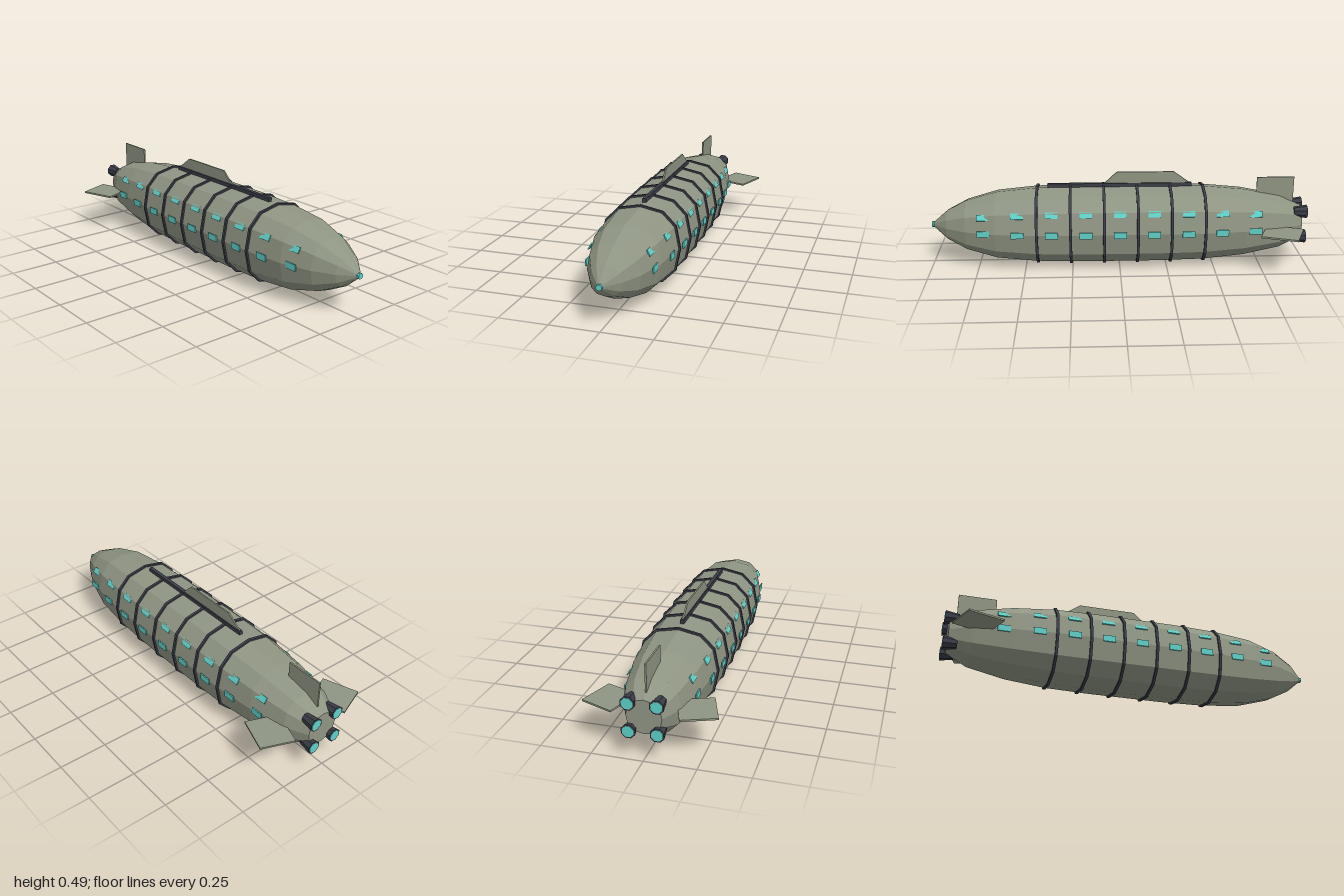
import * as THREE from 'three';

const CY = 0.213; // height of the long axis
const SIDES = 12;

// Hull outline from nose to tail: [z, radius]
const PROFILE = [
  [0.99, 0.012], [0.915, 0.077], [0.81, 0.132], [0.65, 0.177], [0.44, 0.197], [0.2, 0.203],
  [-0.2, 0.203], [-0.44, 0.198], [-0.66, 0.178], [-0.86, 0.14], [-0.975, 0.085],
];

function hullRadius(z) {
  for (let i = 0; i < PROFILE.length - 1; i++) {
    const [z0, r0] = PROFILE[i], [z1, r1] = PROFILE[i + 1];
    if (z <= z0 && z >= z1) return r0 + ((r1 - r0) * (z0 - z)) / (z0 - z1);
  }
  return 0;
}

// Slightly squared twelve-sided cross-section point
function sectionPoint(r, z, j) {
  const t = (j / SIDES) * Math.PI * 2;
  const soft = (v) => (Math.abs(v) < 1e-6 ? 0 : Math.sign(v) * Math.abs(v) ** 0.83);
  return [r * soft(Math.sin(t)), r * soft(Math.cos(t)), z];
}

function faceted(geometry) {
  const g = geometry.index ? geometry.toNonIndexed() : geometry;
  g.computeVertexNormals();
  return g;
}

// Skin over a list of [z, radius] sections, listed front to back
function loft(sections) {
  const pos = [];
  for (let i = 0; i < sections.length - 1; i++) {
    const [z0, r0] = sections[i], [z1, r1] = sections[i + 1];
    for (let j = 0; j < SIDES; j++) {
      const a = sectionPoint(r0, z0, j), b = sectionPoint(r0, z0, j + 1);
      const c = sectionPoint(r1, z1, j), d = sectionPoint(r1, z1, j + 1);
      if (r0 > 0) pos.push(...a, ...b, ...c);
      if (r1 > 0) pos.push(...b, ...d, ...c);
    }
  }
  const g = new THREE.BufferGeometry();
  g.setAttribute('position', new THREE.Float32BufferAttribute(pos, 3));
  return faceted(g);
}

// Flat plate from an outline, centred on its thickness
function plate(points, depth) {
  const shape = new THREE.Shape(points.map(([x, y]) => new THREE.Vector2(x, y)));
  return new THREE.ExtrudeGeometry(shape, { depth, bevelEnabled: false }).translate(0, 0, -depth / 2);
}

export function createModel() {
  const model = new THREE.Group();
  model.name = 'airship';
  const material = (name, color) => {
    const m = new THREE.MeshStandardMaterial({ color });
    m.name = name;
    return m;
  };
  const hullGrey = material('hull grey green', 0x8f9583);
  const darkTrim = material('dark trim', 0x3b3d47);
  const glow = material('teal glow', 0x5fd0c8);

  const add = (name, geometry, mat, x = 0, y = 0, z = 0) => {
    const mesh = new THREE.Mesh(geometry, mat);
    mesh.name = name;
    mesh.position.set(x, y, z);
    model.add(mesh);
    return mesh;
  };

  // Hull, closed at both ends
  add('hull', loft([[0.99, 0], ...PROFILE, [-0.975, 0]]), hullGrey, 0, CY);

  // Nose light
  const nose = new THREE.CylinderGeometry(0.015, 0.015, 0.022, 8).rotateY(Math.PI / 8).rotateX(Math.PI / 2);
  add('noseLight', faceted(nose), glow, 0, CY, 0.989);

  // Hoops around the hull
  for (let i = 0; i < 6; i++) {
    const z = 0.434 - i * 0.176, h = 0.007, r = hullRadius(z);
    const band = loft([[z + h, r - 0.005], [z + h, r + 0.009], [z - h, r + 0.009], [z - h, r - 0.005]]);
    add('hoop', band, darkTrim, 0, CY);
  }

  // Top rail and sail
  add('topRail', new THREE.BoxGeometry(0.02, 0.02, 0.765), darkTrim, 0, 0.423, -0.003);
  const upright = (points) => plate(points, 0.008).rotateY(-Math.PI / 2); // outline in (z, y)
  add('sail', upright([[0.085, 0.425], [-0.385, 0.425], [-0.29, 0.493], [0.013, 0.493]]), hullGrey);

  // Tail fins
  add('tailFin', upright([[-0.737, 0.3], [-0.936, 0.3], [-0.936, 0.456], [-0.737, 0.456]]), hullGrey);
  for (const s of [1, -1]) {
    const outline = [[0.323, 0.903], [0.16, 0.967], [0.095, 0.787], [0.26, 0.723]].map(([x, y]) => [s * x, y]);
    add(s > 0 ? 'leftFin' : 'rightFin', plate(outline, 0.009).rotateX(-Math.PI / 2), hullGrey, 0, CY);
  }

  // Two rows of windows on each side
  const pane = new THREE.BoxGeometry(0.006, 0.033, 0.065);
  for (const s of [1, -1]) {
    for (let i = -4; i <= 4; i++) {
      const z = i * 0.178, r = hullRadius(z) + 0.006;
      for (const angle of [0, Math.PI / 6]) {
        const x = s * r * Math.cos(angle), y = CY + r * Math.sin(angle);
        add(angle ? 'upperWindow' : 'sideWindow', pane, glow, x, y, z).rotation.z = s * angle;
      }
    }
  }

  // Four engines with glowing exhausts
  const nozzle = faceted(new THREE.CylinderGeometry(0.025, 0.036, 0.07, 8).rotateY(Math.PI / 8).rotateX(Math.PI / 2));
  const exhaust = new THREE.CylinderGeometry(0.029, 0.029, 0.004, 8).rotateY(Math.PI / 8).rotateX(Math.PI / 2);
  for (const sx of [1, -1]) {
    for (const sy of [1, -1]) {
      add('engine', nozzle, darkTrim, sx * 0.068, CY + sy * 0.07, -0.963);
      add('exhaustGlow', faceted(exhaust), glow, sx * 0.068, CY + sy * 0.07, -0.998);
    }
  }
  return model;
}
